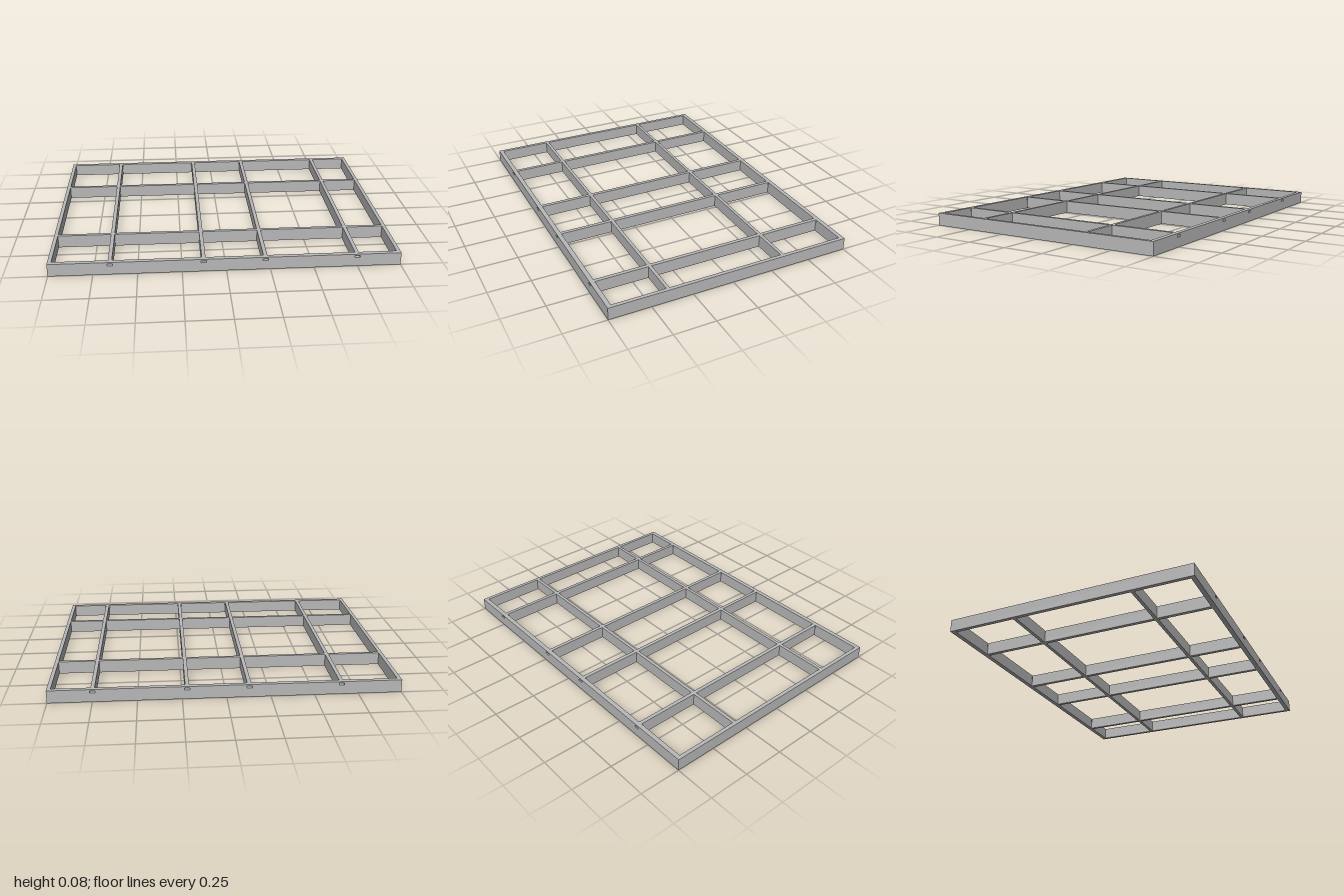
import * as THREE from 'three';

const H = 0.075, X = 1, Z = 0.75;      // frame height and half extents
const SIDE = 0.022, END = 0.027;       // rail thicknesses
const BAR = 0.022, CROSS = 0.02;       // inner bar thicknesses
const barXs = [-0.653, -0.128, 0.222, 0.747];
const crossZs = [-0.328, 0.395];

const steel = new THREE.MeshStandardMaterial({ color: 0xb8b8b8 });
steel.name = 'grey steel';

function rect(path, x0, y0, x1, y1) {
  path.moveTo(x0, y0);
  path.lineTo(x1, y0);
  path.lineTo(x1, y1);
  path.lineTo(x0, y1);
  path.closePath();
  return path;
}

// Extrudes a shape along z, centred on z = 0
function extrude(shape, length) {
  const geo = new THREE.ExtrudeGeometry(shape, { depth: length, bevelEnabled: false });
  return geo.translate(0, 0, -length / 2);
}

export function createModel() {
  const group = new THREE.Group();
  const add = (name, geo, x, y, z) => {
    const mesh = new THREE.Mesh(geo, steel);
    mesh.name = name;
    mesh.position.set(x, y, z);
    group.add(mesh);
  };

  // Front and back rails with a slot at the end of every long bar
  const rail = rect(new THREE.Shape(), -X, 0, X, H);
  for (const x of barXs) rail.holes.push(rect(new THREE.Path(), x - 0.015, 0.054, x + 0.015, 0.066));
  const railGeo = extrude(rail, END);
  add('frontRail', railGeo, 0, 0, Z - END / 2);
  add('backRail', railGeo, 0, 0, -Z + END / 2);

  // Side rails
  const inner = 2 * (Z - END);
  const sideGeo = new THREE.BoxGeometry(SIDE, H, inner);
  add('leftRail', sideGeo, X - SIDE / 2, H / 2, 0);
  add('rightRail', sideGeo, -X + SIDE / 2, H / 2, 0);

  // Long bars: hollow rectangular tubes from front to back
  const wall = 0.002;
  const tube = rect(new THREE.Shape(), -BAR / 2, 0, BAR / 2, H);
  tube.holes.push(rect(new THREE.Path(), -BAR / 2 + wall, wall, BAR / 2 - wall, H - wall));
  const tubeGeo = extrude(tube, inner);
  for (const x of barXs) add('longBar', tubeGeo, x, 0, 0);

  // Cross bars: short pieces butted between the long bars
  const stops = [-X + SIDE - BAR / 2, ...barXs, X - SIDE + BAR / 2];
  for (let i = 0; i < stops.length - 1; i++) {
    const length = stops[i + 1] - stops[i] - BAR;
    const geo = new THREE.BoxGeometry(length, H, CROSS);
    for (const z of crossZs) add('crossBar', geo, (stops[i] + stops[i + 1]) / 2, H / 2, z);
  }
  return group;
}
